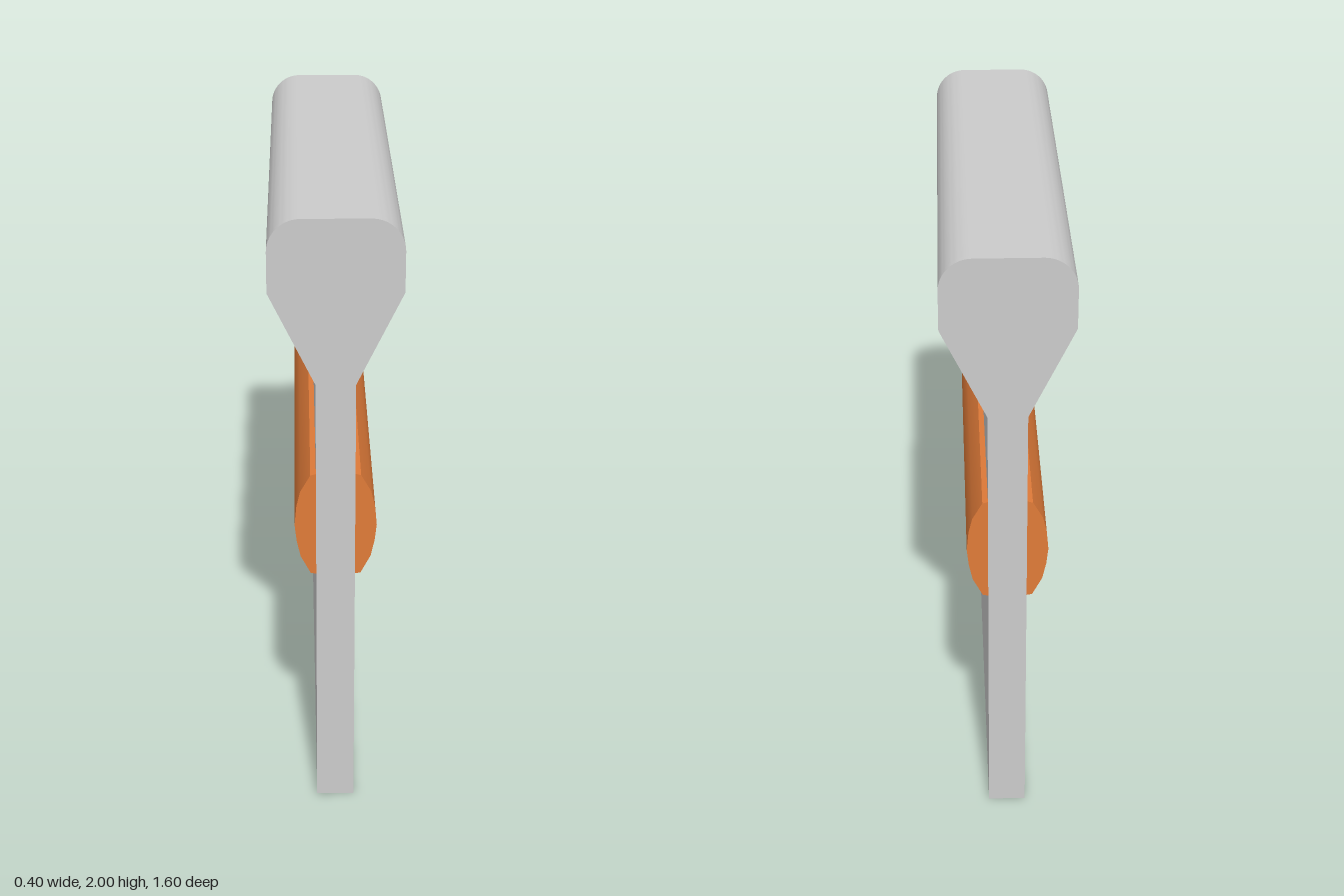
import * as THREE from 'three';
import { toCreasedNormals } from 'three/addons/utils/BufferGeometryUtils.js';

const LENGTH = 1.6, HALF = 0.06;

// Prism of a cross-section (x, y) running along z, centred at z
function prism(name, shape, depth, z, material) {
  const geometry = new THREE.ExtrudeGeometry(shape, { depth, bevelEnabled: false, curveSegments: 10 });
  geometry.translate(0, 0, z - depth / 2);
  const mesh = new THREE.Mesh(toCreasedNormals(geometry, 0.6), material);
  mesh.name = name;
  return mesh;
}

// Top rail section: sloped underside, upright face, rounded shoulder
function railShape(grooved) {
  const s = new THREE.Shape();
  s.moveTo(HALF, 1.485);
  s.lineTo(0.2, 1.775);
  if (grooved) {
    s.lineTo(0.2, 1.81);
    s.lineTo(0.17, 1.81);
    s.lineTo(0.17, 1.87);
    s.lineTo(0.2, 1.87);
  }
  s.lineTo(0.2, 1.9);
  s.absarc(0.1, 1.9, 0.1, 0, Math.PI / 2, false);
  s.lineTo(HALF, 2);
  s.closePath();
  return s;
}

// Bulging bumper section
function bumperShape() {
  return new THREE.Shape([
    [HALF, 0.842], [0.077, 0.845], [0.108, 0.905], [0.12, 0.96], [0.126, 1.015],
    [0.12, 1.08], [0.108, 1.13], [0.077, 1.185], [HALF, 1.19],
  ].map(([x, y]) => new THREE.Vector2(x, y)));
}

export function createModel() {
  const model = new THREE.Group();
  model.name = 'wallPanel';
  const grey = new THREE.MeshStandardMaterial({ color: 0xcccccc });
  const orange = new THREE.MeshStandardMaterial({ color: 0xe07b39 });

  // Upright panel
  const panel = new THREE.Mesh(new THREE.BoxGeometry(HALF * 2, 2, LENGTH), grey);
  panel.name = 'panel';
  panel.position.y = 1;
  model.add(panel);

  // Matching rail and bumper on both faces
  const end = 0.02;
  for (const side of ['left', 'right']) {
    const group = new THREE.Group();
    group.name = side + 'Side';
    group.add(prism('groovedRail', railShape(true), LENGTH - 2 * end, 0, grey));
    for (const sign of [-1, 1]) {
      group.add(prism('railEnd', railShape(false), end, sign * (LENGTH - end) / 2, grey));
    }
    group.add(prism('bumper', bumperShape(), LENGTH, 0, orange));
    if (side === 'right') group.rotation.y = Math.PI;
    model.add(group);
  }
  return model;
}
